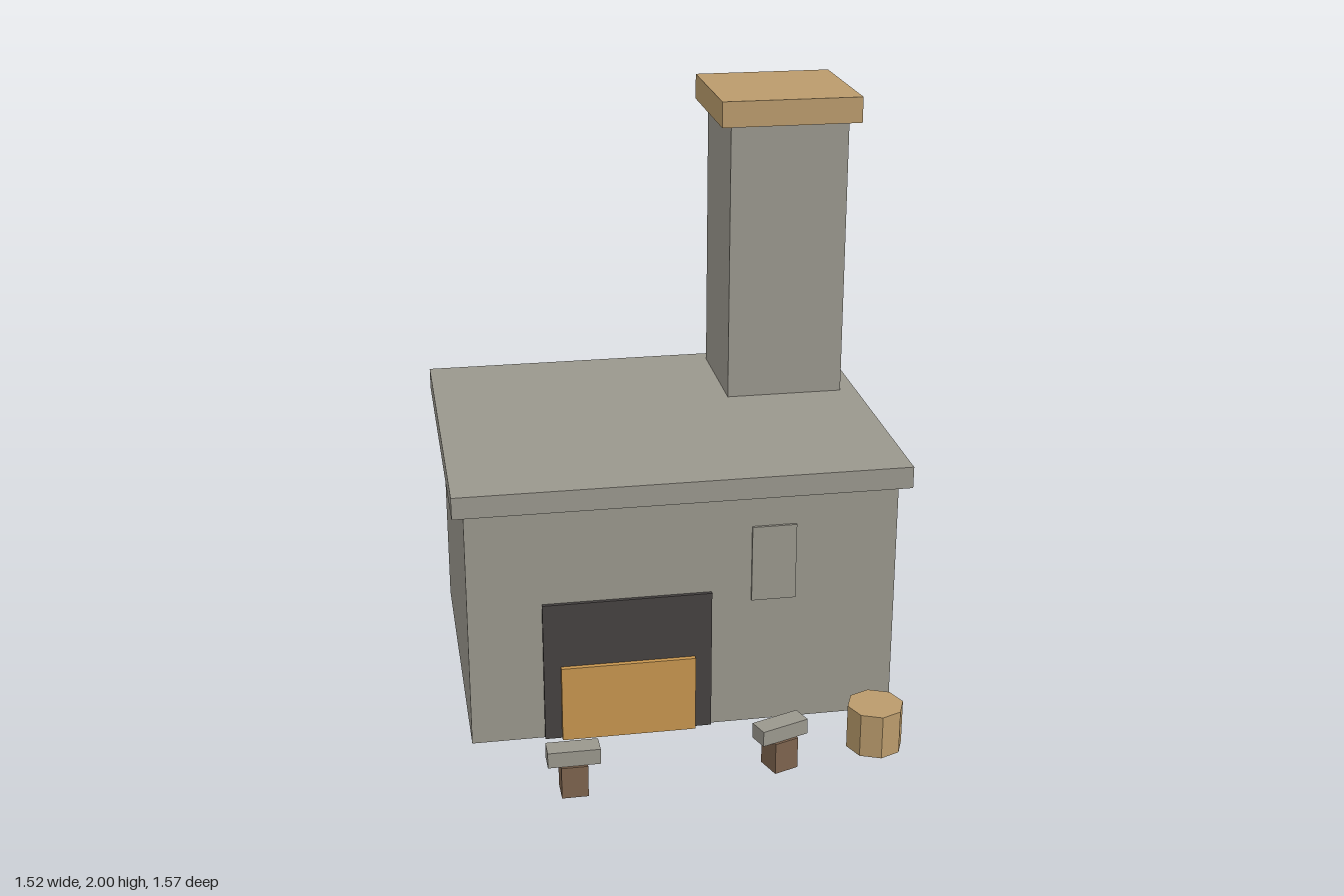
import * as THREE from 'three';

const material = (name, color) => {
  const m = new THREE.MeshStandardMaterial({ color });
  m.name = name;
  return m;
};

export function createModel() {
  const stone = material('stone', 0x9a978d);
  const wood = material('paleWood', 0xba9b6c);
  const ember = material('emberGlow', 0xc6954f);
  const soot = material('soot', 0x454140);
  const darkWood = material('darkWood', 0x7d634e);

  const model = new THREE.Group();
  model.name = 'forge';

  // Box given by its lower and upper limits on each axis
  const box = (name, mat, [x0, x1], [y0, y1], [z0, z1], parent = model) => {
    const mesh = new THREE.Mesh(new THREE.BoxGeometry(x1 - x0, y1 - y0, z1 - z0), mat);
    mesh.position.set((x0 + x1) / 2, (y0 + y1) / 2, (z0 + z1) / 2);
    mesh.name = name;
    parent.add(mesh);
    return mesh;
  };

  // Building
  box('walls', stone, [-0.722, 0.722], [0, 0.843], [-0.745, 0.398]);
  box('roofSlab', stone, [-0.76, 0.76], [0.843, 0.918], [-0.785, 0.435]);
  box('chimney', stone, [0.285, 0.702], [0.918, 1.91], [-0.724, -0.307]);
  box('chimneyCap', wood, [0.247, 0.74], [1.91, 2], [-0.769, -0.275]);

  // Hearth and wall panel on the front
  box('hearthOpening', soot, [-0.476, 0.092], [0, 0.5], [0.39, 0.411]);
  box('hearthFire', ember, [-0.419, 0.035], [0, 0.27], [0.4, 0.428]);
  box('wallPanel', stone, [0.227, 0.377], [0.46, 0.728], [0.39, 0.407]);

  // Anvils on wooden blocks
  const addAnvil = (name, x, z, turn) => {
    const anvil = new THREE.Group();
    anvil.name = name;
    box('anvilBlock', darkWood, [-0.043, 0.043], [0, 0.11], [-0.043, 0.043], anvil);
    box('anvilTop', stone, [-0.085, 0.085], [0.11, 0.163], [-0.034, 0.034], anvil);
    anvil.position.set(x, 0, z);
    anvil.rotation.y = turn;
    model.add(anvil);
  };
  addAnvil('rightAnvil', -0.421, 0.738, 0);
  addAnvil('leftAnvil', 0.265, 0.698, 0.35);

  // Eight-sided barrel
  const barrelGeometry = new THREE.CylinderGeometry(0.095, 0.095, 0.153, 8).toNonIndexed();
  barrelGeometry.computeVertexNormals();
  const barrel = new THREE.Mesh(barrelGeometry, wood);
  barrel.name = 'barrel';
  barrel.position.set(0.607, 0.0765, 0.624);
  model.add(barrel);

  return model;
}
